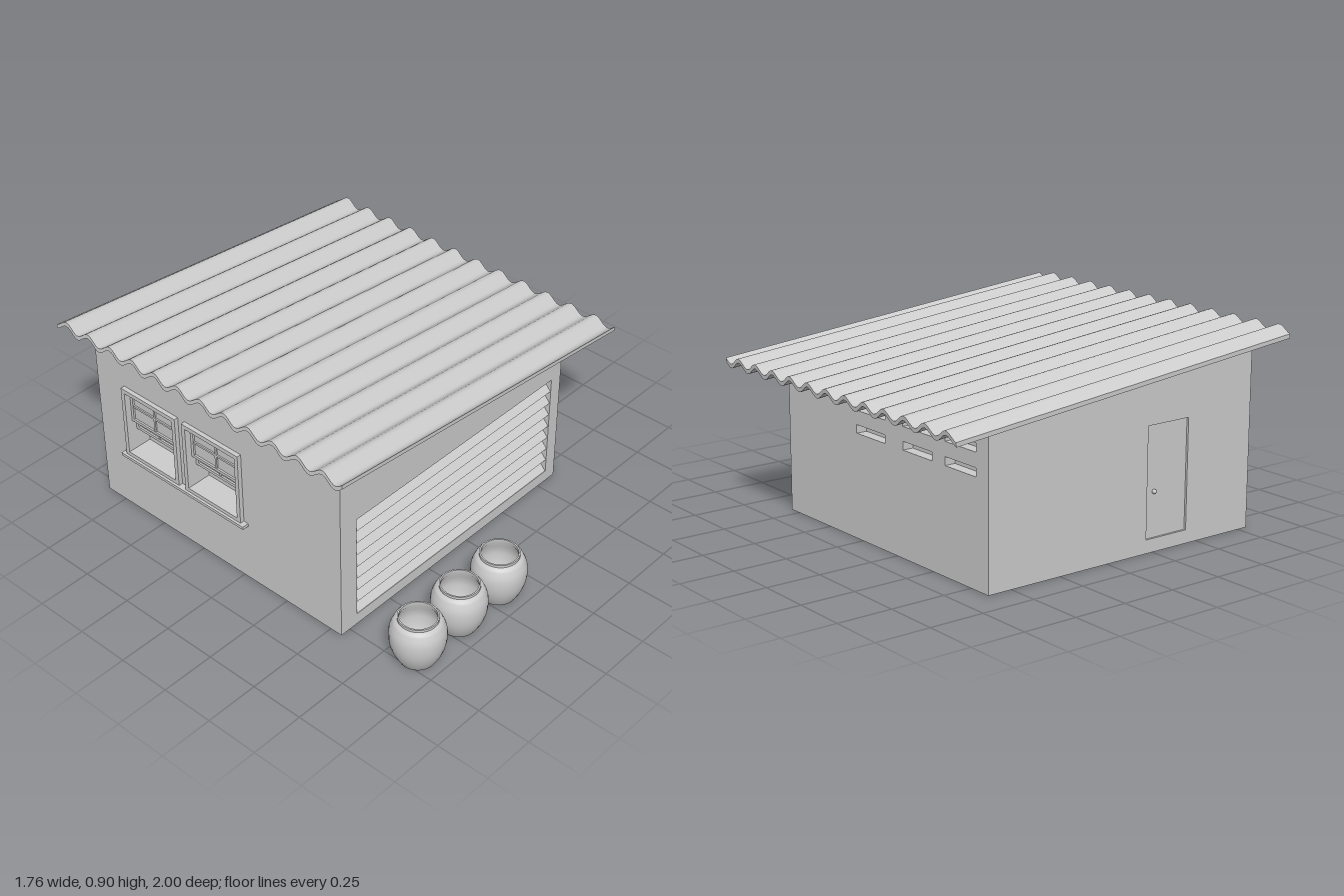
import * as THREE from 'three';
import { toCreasedNormals } from 'three/addons/utils/BufferGeometryUtils.js';

const SLOPE = 0.0995;
const wallTop = x => 0.77 - SLOPE * x;

export function createModel() {
  const model = new THREE.Group();
  const mat = new THREE.MeshStandardMaterial({ color: 0xcccccc, side: THREE.DoubleSide });

  const add = (name, geo, parent = model) => {
    const m = new THREE.Mesh(geo, mat);
    m.name = name;
    parent.add(m);
    return m;
  };
  const box = (name, x0, x1, y0, y1, z0, z1, parent) =>
    add(name, new THREE.BoxGeometry(x1 - x0, y1 - y0, z1 - z0), parent)
      .position.set((x0 + x1) / 2, (y0 + y1) / 2, (z0 + z1) / 2);
  const toShape = (pts, holes = []) => {
    const s = new THREE.Shape(pts.map(p => new THREE.Vector2(...p)));
    s.holes = holes.map(h => new THREE.Path(h.map(p => new THREE.Vector2(...p))));
    return s;
  };
  const rect = (a0, a1, b0, b1) => [[a0, b0], [a1, b0], [a1, b1], [a0, b1]];
  // Extrude an (x, y) outline along z
  const alongZ = (pts, holes, z0, z1) =>
    new THREE.ExtrudeGeometry(toShape(pts, holes), { depth: z1 - z0, bevelEnabled: false }).translate(0, 0, z0);
  // Extrude a (z, y) outline along x
  const alongX = (pts, holes, x0, x1) => {
    const flip = list => list.map(([z, y]) => [-z, y]);
    return new THREE.ExtrudeGeometry(toShape(flip(pts), holes.map(flip)), { depth: x1 - x0, bevelEnabled: false })
      .rotateY(Math.PI / 2).translate(x0, 0, 0);
  };
  const gable = (x0, x1) => [[x0, 0], [x1, 0], [x1, wallTop(x1)], [x0, wallTop(x0)]];

  // Walls: a core with outer layers that carry the recesses
  const windows = [[-0.67, -0.38], [-0.3, -0.01]];
  const vents = [];
  for (const [z0, z1] of [[-0.17, 0.037], [-0.495, -0.295], [-0.78, -0.58]])
    for (const [y0, y1] of [[0.465, 0.502], [0.565, 0.602]]) vents.push(rect(z0, z1, y0, y1));
  add('core', alongZ(gable(-0.7, 0.565), [], -0.85, 0.52));
  add('frontWall', alongZ(gable(-0.8, 0.615), [rect(-0.705, 0.552, 0.055, 0.563)], 0.52, 0.56));
  add('backWall', alongZ(gable(-0.8, 0.615), [rect(-0.44, -0.215, 0.06, 0.55)], -0.86, -0.85));
  add('windowWall', alongX(rect(-0.85, 0.52, 0, wallTop(-0.8)),
    windows.map(([a, b]) => rect(a, b, 0.32, 0.635)), -0.8, -0.7));
  add('ventWall', alongX(rect(-0.85, 0.52, 0, wallTop(0.615)), vents, 0.565, 0.615));

  // Roller shutter with a zigzag section
  const zigzag = [[0.515, 0.055], [0.515, 0.563]];
  const pitch = (0.563 - 0.055) / 8;
  for (let i = 0; i < 8; i++) {
    const y = 0.563 - i * pitch;
    zigzag.push([0.558, y], [0.53, y - pitch / 2]);
  }
  zigzag.push([0.558, 0.055]);
  add('shutter', alongX(zigzag, [], -0.705, 0.552));

  // Door knob on the recessed back door
  add('doorKnob', new THREE.SphereGeometry(0.01, 12, 8)).position.set(-0.257, 0.262, -0.858);

  // Sash windows
  const sash = (parent, name, x, y0, y1, z0, z1) => {
    const g = new THREE.Group();
    g.name = name;
    parent.add(g);
    const t = 0.014, zm = (z0 + z1) / 2, ym = (y0 + y1) / 2;
    add('sashFrame', alongX(rect(z0, z1, y0, y1), [rect(z0 + t, z1 - t, y0 + t, y1 - t)], x, x + 0.02), g);
    box('uprightBar', x + 0.002, x + 0.018, y0, y1, zm - 0.005, zm + 0.005, g);
    box('crossBar', x + 0.002, x + 0.018, ym - 0.005, ym + 0.005, z0, z1, g);
    box('pane', x + 0.009, x + 0.012, y0, y1, z0, z1, g);
  };
  for (const [z0, z1] of windows) {
    const g = new THREE.Group();
    g.name = 'window';
    model.add(g);
    add('windowFrame', alongX(rect(z0 - 0.02, z1 + 0.02, 0.3, 0.655), [rect(z0, z1, 0.32, 0.635)], -0.82, -0.8), g);
    sash(g, 'upperSash', -0.79, 0.475, 0.635, z0, z1);
    sash(g, 'lowerSash', -0.768, 0.42, 0.58, z0, z1);
  }
  box('windowSill', -0.832, -0.8, 0.288, 0.302, -0.71, 0.035);

  // Corrugated roof sheet
  const top = [], under = [];
  const steps = 146, wave = 0.1345, thick = 0.019;
  for (let i = 0; i <= steps; i++) {
    const z = -1 + 1.645 * i / steps;
    const y = 0.0175 * Math.cos((z + 0.94) * 2 * Math.PI / wave);
    top.push([z, y + thick / 2]);
    under.unshift([z, y - thick / 2]);
  }
  const roof = add('roof', toCreasedNormals(alongX([...top, ...under], [], -0.882, 0.882), 0.7));
  roof.position.y = 0.79;
  roof.rotation.z = -Math.atan(SLOPE);

  // Row of clay pots
  const bodyCurve = new THREE.SplineCurve([[0.078, 0.004], [0.1, 0.045], [0.115, 0.09], [0.12, 0.135],
    [0.116, 0.175], [0.1, 0.213]].map(p => new THREE.Vector2(...p)));
  const profile = [[0, 0], [0.07, 0]].map(p => new THREE.Vector2(...p))
    .concat(bodyCurve.getPoints(14),
      [[0.086, 0.22], [0.086, 0.232], [0.079, 0.232], [0.079, 0.215], [0.1, 0.175], [0.105, 0.13],
        [0.09, 0.06], [0.065, 0.02], [0, 0.015]].map(p => new THREE.Vector2(...p)));
  const potGeo = toCreasedNormals(new THREE.LatheGeometry(profile, 32), 0.7);
  for (const x of [-0.688, -0.43, -0.173]) add('pot', potGeo).position.set(x, 0, 0.876);

  return model;
}
